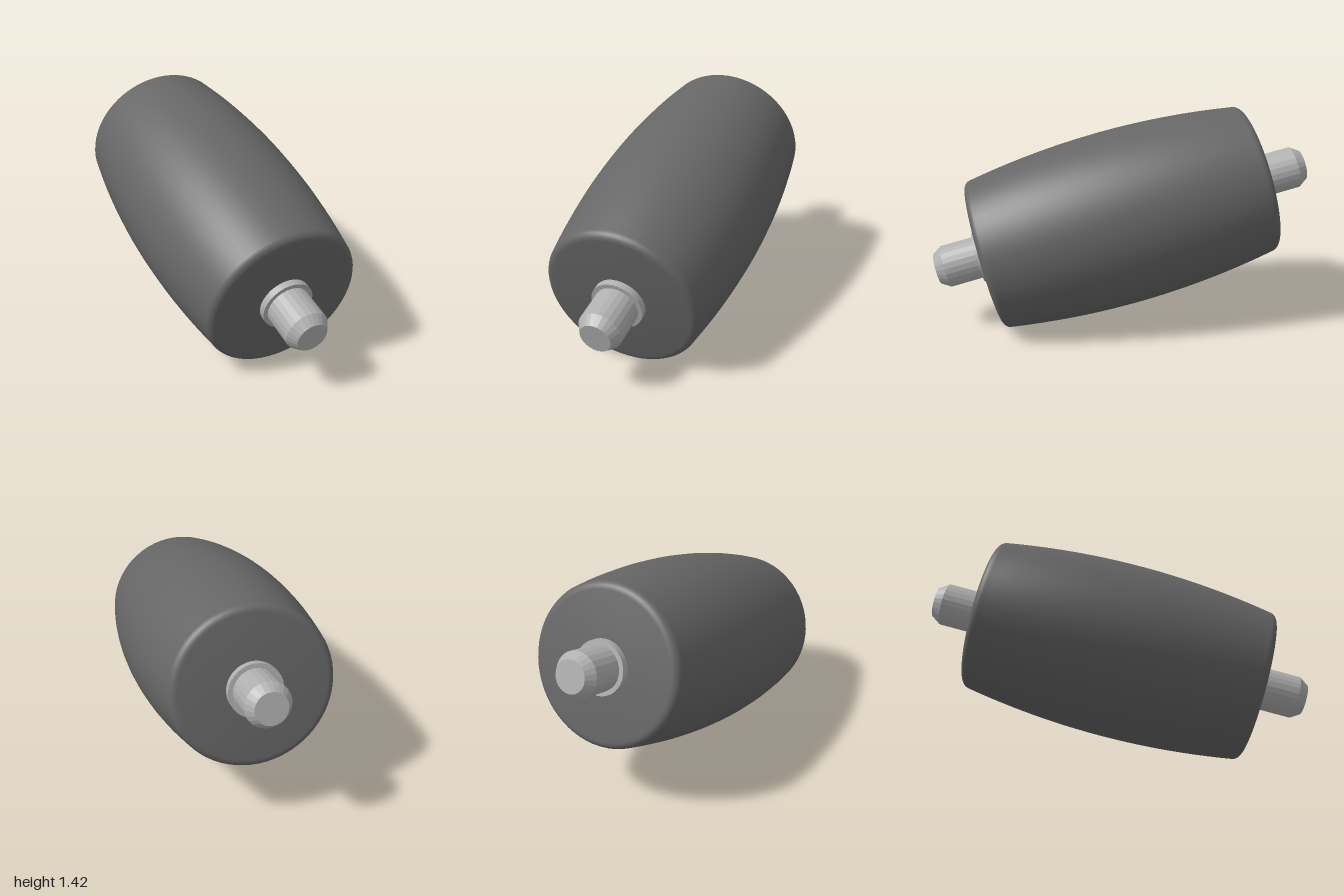
import * as THREE from 'three';
import { toCreasedNormals } from 'three/addons/utils/BufferGeometryUtils.js';

const rubber = new THREE.MeshStandardMaterial({ color: 0x666666 });
rubber.name = 'dark grey rubber';
const steel = new THREE.MeshStandardMaterial({ color: 0xb0b0b0 });
steel.name = 'light grey steel';

// Closed solid of revolution about y, from [radius, height] pairs, bottom to top
function turned(name, profile, segments, material, crease) {
  const points = profile.map(([r, h]) => new THREE.Vector2(r, h));
  const geometry = toCreasedNormals(new THREE.LatheGeometry(points, segments), crease);
  const mesh = new THREE.Mesh(geometry, material);
  mesh.name = name;
  return mesh;
}

export function createModel() {
  const model = new THREE.Group();
  model.name = 'barrelRoller';

  const FACE = 0.945, EDGE = 0.505, MIDDLE = 0.58, FILLET = 0.05;

  // Barrel half profile: bulged side, then a rounded rim, then the flat end
  const half = [];
  const sideEnd = FACE - FILLET;
  for (let i = 0; i <= 12; i++) {
    const t = i / 12;
    half.push([MIDDLE - (MIDDLE - EDGE) * t * t, sideEnd * t]);
  }
  for (let i = 1; i <= 6; i++) {
    const a = (i / 6) * Math.PI / 2;
    half.push([EDGE - FILLET + FILLET * Math.cos(a), sideEnd + FILLET * Math.sin(a)]);
  }
  half.push([0, FACE]);
  const lower = half.slice(1).reverse().map(([r, h]) => [r, -h]);
  model.add(turned('barrel', [...lower, ...half], 64, rubber, 0.5));

  // Collar and chamfered shaft stub at both ends
  for (const side of [1, -1]) {
    const end = new THREE.Group();
    end.name = side > 0 ? 'frontShaft' : 'backShaft';
    end.add(turned('collar', [[0.168, FACE - 0.02], [0.168, 0.99], [0, 0.99]], 32, steel, 0.5));
    end.add(turned('stub', [[0.14, FACE], [0.14, 1.21], [0.1, 1.27], [0, 1.27]], 24, steel, 0.1));
    if (side < 0) end.rotation.x = Math.PI;
    model.add(end);
  }

  // Tilt the roller axis toward front left and down
  const axis = new THREE.Vector3(0.71, -0.242, 0.662).normalize();
  model.quaternion.setFromUnitVectors(new THREE.Vector3(0, 1, 0), axis);
  model.position.y = 0.705;

  const root = new THREE.Group();
  root.name = 'roller';
  root.add(model);
  return root;
}
